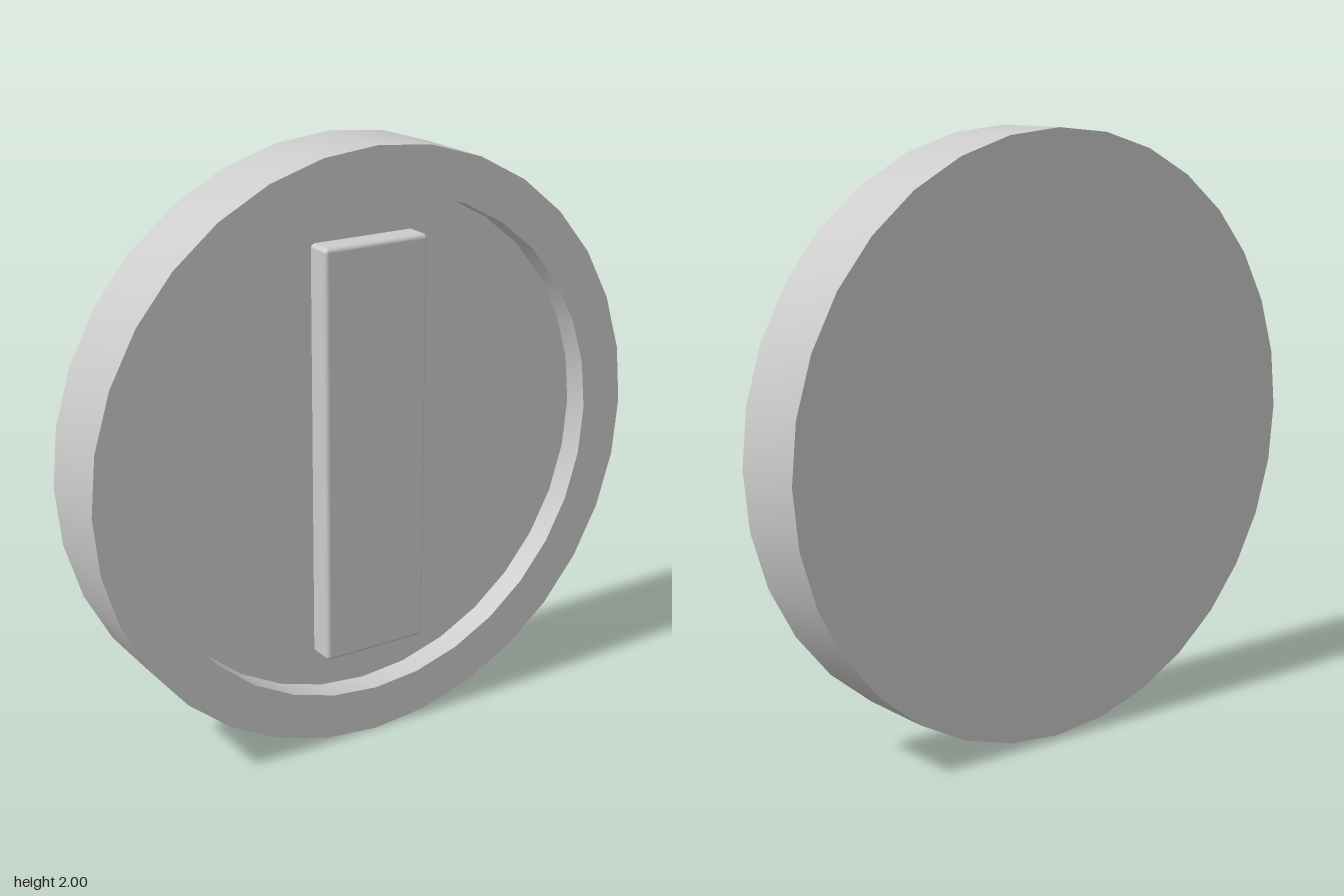
import * as THREE from 'three';
import { toCreasedNormals } from 'three/addons/utils/BufferGeometryUtils.js';
import { RoundedBoxGeometry } from 'three/addons/geometries/RoundedBoxGeometry.js';

const HALF = 0.14;    // half thickness of the coin
const FLOOR = 0.05;   // z of the recessed face
const RADIUS = 1;
const INNER = 0.845;  // inside radius of the raised rim

export function createModel() {
  const model = new THREE.Group();
  model.name = 'coin';
  const material = new THREE.MeshStandardMaterial({ color: 0xcccccc });

  // Disc with flat back, raised rim and recessed front face
  const profile = [
    [0, -HALF], [RADIUS, -HALF], [RADIUS, HALF],
    [INNER, HALF], [INNER, FLOOR], [0, FLOOR],
  ].map(([r, h]) => new THREE.Vector2(r, h));
  const discGeometry = toCreasedNormals(new THREE.LatheGeometry(profile, 32), Math.PI / 6);
  discGeometry.rotateX(Math.PI / 2);
  const disc = new THREE.Mesh(discGeometry, material);
  disc.name = 'disc';
  disc.position.y = 1;
  model.add(disc);

  // Upright bar with softened edges, set into the recess
  const front = 0.135, back = 0;
  const bar = new THREE.Mesh(new RoundedBoxGeometry(0.38, 1.4, front - back, 2, 0.015), material);
  bar.name = 'raisedBar';
  bar.position.set(0, 1, (front + back) / 2);
  model.add(bar);

  return model;
}
